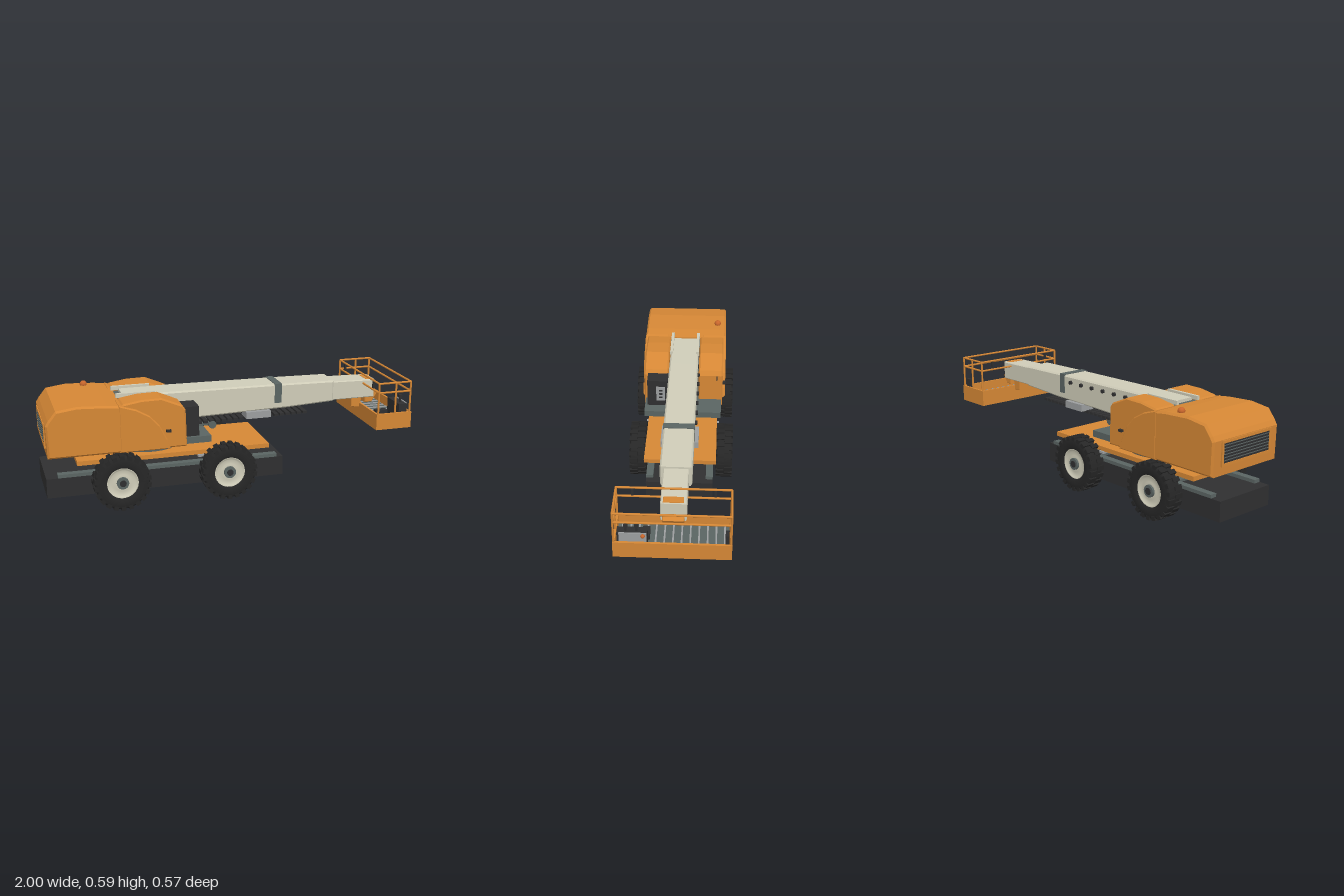
import * as THREE from 'three';

const mat = (name, color, double) => {
  const m = new THREE.MeshStandardMaterial({ color });
  m.name = name;
  if (double) m.side = THREE.DoubleSide;
  return m;
};

export function createModel() {
  const root = new THREE.Group();
  root.name = 'boomLift';
  const orange = mat('orange', 0xd58735);
  const cream = mat('cream', 0xcfccb8);
  const slate = mat('slate', 0x5a6462);
  const dark = mat('charcoal', 0x2f2f30);
  const rubber = mat('rubber', 0x262626, true);
  const grey = mat('lightGrey', 0x9c9e9f);
  const amber = mat('amber', 0xc8662c);

  const add = (name, geo, m, parent = root) => {
    const mesh = new THREE.Mesh(geo, m);
    mesh.name = name;
    parent.add(mesh);
    return mesh;
  };
  // box given by its limits on each axis
  const box = (name, m, x0, x1, y0, y1, z0, z1, parent) => {
    const mesh = add(name, new THREE.BoxGeometry(x1 - x0, y1 - y0, z1 - z0), m, parent);
    mesh.position.set((x0 + x1) / 2, (y0 + y1) / 2, (z0 + z1) / 2);
    return mesh;
  };
  // side profile extruded across z
  const slab = (name, m, pts, z0, z1, bevel = 0.008) => {
    const shape = new THREE.Shape(pts.map(p => new THREE.Vector2(...p)));
    const geo = new THREE.ExtrudeGeometry(shape, {
      depth: z1 - z0 - 2 * bevel, bevelEnabled: bevel > 0, bevelSize: bevel,
      bevelThickness: bevel, bevelOffset: -bevel, bevelSegments: 1
    });
    geo.translate(0, 0, z0 + bevel);
    return add(name, geo, m);
  };
  // round bar between two points
  const bar = (name, m, a, b, r, parent, sides = 10) => {
    const A = new THREE.Vector3(...a), B = new THREE.Vector3(...b);
    const mesh = add(name, new THREE.CylinderGeometry(r, r, A.distanceTo(B), sides), m, parent);
    mesh.position.copy(A).add(B).multiplyScalar(0.5);
    mesh.quaternion.setFromUnitVectors(new THREE.Vector3(0, 1, 0), B.sub(A).normalize());
    return mesh;
  };

  // chassis, rails and deck
  box('chassis', dark, -1, 0.285, 0.07, 0.175, -0.18, 0.18);
  for (const s of [-1, 1]) {
    const rail = box('chassisRail', slate, -0.94, 0.25, 0.175, 0.193, -0.019, 0.019);
    rail.position.z = s * 0.161;
    const bracket = box('deckBracket', grey, -0.2, -0.16, 0.227, 0.239, -0.015, 0.015);
    bracket.position.z = s * 0.192;
  }
  box('deck', orange, -0.84, 0.2, 0.238, 0.262, -0.195, 0.195);

  // wheels
  const tyreProfile = [[0.078, -0.034], [0.095, -0.045], [0.132, -0.044], [0.143, -0.034],
    [0.143, 0.034], [0.132, 0.044], [0.095, 0.045], [0.078, 0.034]].map(p => new THREE.Vector2(...p));
  const tyreGeo = new THREE.LatheGeometry(tyreProfile, 40).rotateX(Math.PI / 2);
  const rimGeo = new THREE.LatheGeometry([[0.084, 0.037], [0.076, 0.037], [0.066, 0.026], [0.045, 0.03],
    [0.03, 0.03], [0, 0.03]].map(p => new THREE.Vector2(...p)).reverse(), 32).rotateX(Math.PI / 2);
  const rimMat = mat('rimCream', 0xcfccb8, true);
  const makeWheel = (x, side) => {
    const w = new THREE.Group();
    w.name = 'wheel';
    add('tyre', tyreGeo, rubber, w);
    add('rim', rimGeo, rimMat, w);
    bar('hub', slate, [0, 0, -0.03], [0, 0, 0.042], 0.032, w, 20);
    bar('hubCap', dark, [0, 0, 0.04], [0, 0, 0.046], 0.018, w, 12);
    const n = 22;
    for (let i = 0; i < n; i++) {
      for (const half of [-1, 1]) {
        const a = (i + (half > 0 ? 0.5 : 0)) / n * Math.PI * 2;
        const lug = add('treadLug', new THREE.BoxGeometry(0.024, 0.022, 0.044), rubber, w);
        lug.position.set(Math.cos(a) * 0.139, Math.sin(a) * 0.139, half * 0.0228);
        lug.rotation.z = a - Math.PI / 2;
      }
    }
    w.position.set(x, 0.15, side * 0.24);
    if (side < 0) w.rotation.y = Math.PI;
    root.add(w);
  };
  for (const x of [-0.62, -0.045]) {
    box('axle', slate, x - 0.06, x + 0.06, 0.115, 0.187, -0.2, 0.2);
    for (const s of [-1, 1]) makeWheel(x, s);
  }

  // slewing ring and turret platform
  bar('slewRing', slate, [-0.44, 0.272, 0], [-0.44, 0.312, 0], 0.18, root, 40);
  box('turretPlatform', slate, -0.6, -0.13, 0.31, 0.345, -0.215, 0.215);

  // rear body, side skirts and hoods
  slab('rearBody', orange, [[-0.99, 0.3], [-0.6, 0.3], [-0.6, 0.548], [-0.68, 0.558], [-0.83, 0.565],
    [-0.94, 0.55], [-0.98, 0.5], [-0.995, 0.475]], -0.235, 0.235, 0.01);
  const skirt = [[-0.62, 0.3], [-0.355, 0.3], [-0.37, 0.35], [-0.41, 0.43], [-0.46, 0.485], [-0.53, 0.525], [-0.62, 0.553]];
  const hood = [[-0.615, 0.3], [-0.262, 0.3], [-0.268, 0.5], [-0.285, 0.525], [-0.395, 0.572],
    [-0.5, 0.57], [-0.595, 0.555], [-0.615, 0.54]];
  for (const s of [-1, 1]) {
    const range = (a, b) => s > 0 ? [a, b] : [-b, -a];
    slab('sideSkirt', orange, skirt, ...range(0.1, 0.237), 0.006);
    slab('sideHood', orange, hood, ...range(0.085, 0.222));
    box('hoodLatch', dark, -0.375, -0.35, 0.39, 0.402, ...range(0.22, 0.238));
    box('frontLatch', dark, -0.268, -0.259, 0.478, 0.498, ...range(0.185, 0.192));
    box('boomCheek', slate, -0.6, -0.3, 0.34, 0.48, ...range(0.078, 0.09));
  }

  // rear grille
  box('grille', dark, -0.998, -0.98, 0.36, 0.46, -0.165, 0.165);
  for (const y of [0.352, 0.465]) box('grilleFrame', orange, -1, -0.98, y - 0.007, y + 0.007, -0.178, 0.178);
  for (const z of [-0.171, 0.171]) box('grilleFrame', orange, -1, -0.98, 0.35, 0.47, z - 0.007, z + 0.007);
  for (let i = 0; i < 6; i++) box('grilleSlat', slate, -1, -0.99, 0.371 + i * 0.015, 0.375 + i * 0.015, -0.162, 0.162);
  const beacon = add('beacon', new THREE.SphereGeometry(0.019, 16, 10), amber);
  beacon.position.set(-0.74, 0.567, -0.185);

  // ground control box
  box('controlBox', dark, -0.285, -0.192, 0.345, 0.507, 0.085, 0.2);
  box('controlPanel', grey, -0.193, -0.187, 0.38, 0.47, 0.1, 0.15);
  for (let i = 0; i < 3; i++) box('controlSwitch', dark, -0.188, -0.183, 0.4 + i * 0.022, 0.408 + i * 0.022, 0.115, 0.135);

  // telescopic boom
  slab('mainBoom', cream, [[-0.57, 0.42], [-0.18, 0.405], [0.35, 0.418], [0.615, 0.432], [0.615, 0.55],
    [0.3, 0.555], [-0.3, 0.56], [-0.57, 0.56]], -0.08, 0.08);
  slab('innerBoom', cream, [[0.6, 0.432], [0.87, 0.432], [0.87, 0.535], [0.6, 0.54]], -0.064, 0.062, 0.005);
  box('boomBand', slate, 0.268, 0.308, 0.45, 0.559, -0.0815, 0.0815);
  bar('boomPivot', slate, [-0.575, 0.5, -0.085], [-0.575, 0.5, 0.085], 0.045, root, 20);
  for (const s of [-1, 1]) {
    const strap = box('tailStrap', cream, -0.61, -0.4, 0.552, 0.573, -0.008, 0.008);
    strap.position.z = s * 0.074;
  }
  for (let i = 0; i < 8; i++) {
    const x = -0.42 + i * 0.09;
    bar('hoseClamp', dark, [x, 0.522, -0.076], [x, 0.522, -0.092], 0.011);
  }

  // cable carrier and its box under the boom
  for (let i = 0; i < 20; i++) {
    const x = -0.2 + i * 0.0335;
    box('carrierLink', dark, x, x + 0.024, 0.366 + i * 0.0004, 0.38 + i * 0.0004, -0.075, 0.075);
  }
  box('carrierTray', dark, -0.17, 0.3, 0.386, 0.412, -0.02, 0.02);
  box('valveBox', grey, 0.1, 0.24, 0.378, 0.416, -0.1, 0.1);
  bar('hoseDrum', slate, [-0.085, 0.356, -0.06], [-0.085, 0.356, 0.08], 0.021, root, 16);
  box('drumMount', slate, -0.18, -0.07, 0.346, 0.366, -0.05, 0.05);

  // basket mount
  slab('basketMount', orange, [[0.74, 0.378], [0.8, 0.37], [0.8, 0.43], [0.74, 0.435]], -0.045, 0.045, 0.004);
  slab('basketRotator', orange, [[0.82, 0.4], [0.862, 0.4], [0.893, 0.448], [0.862, 0.48], [0.862, 0.537], [0.82, 0.537]], -0.052, 0.052, 0.004);

  // basket tub and grating
  box('basketBase', orange, 0.79, 0.997, 0.308, 0.33, -0.28, 0.28);
  for (const x of [0.796, 0.991]) box('basketWall', orange, x - 0.006, x + 0.006, 0.308, 0.398, -0.28, 0.28);
  for (const z of [-0.274, 0.274]) box('basketWall', orange, 0.79, 0.997, 0.308, 0.398, z - 0.006, z + 0.006);
  box('basketFloor', slate, 0.802, 0.985, 0.33, 0.345, -0.268, 0.268);
  for (let i = 0; i < 13; i++) {
    const z = -0.246 + i * 0.041;
    box('floorSlat', grey, 0.805, 0.982, 0.345, 0.35, z - 0.004, z + 0.004);
  }

  // guard rails
  const r = 0.0055, x0 = 0.8, x1 = 0.987, zr = 0.274;
  for (const y of [0.517, 0.569]) {
    for (const x of [x0, x1]) bar('guardRail', orange, [x, y, -zr], [x, y, zr], r);
    for (const z of [-zr, zr]) bar('guardRail', orange, [x0, y, z], [x1, y, z], r);
  }
  for (const z of [-zr, zr]) {
    for (const x of [x0, 0.9, x1]) bar('guardPost', orange, [x, 0.39, z], [x, 0.569, z], r);
  }
  for (const z of [-0.197, 0.197]) box('railClamp', dark, 0.795, 0.806, 0.526, 0.563, z - 0.006, z + 0.006);

  // basket controls
  box('console', dark, 0.93, 0.976, 0.35, 0.44, 0.117, 0.26);
  box('consoleFace', grey, 0.974, 0.98, 0.36, 0.444, 0.12, 0.25);
  box('footSwitch', dark, 0.85, 0.92, 0.35, 0.375, 0.11, 0.145);
  for (const z of [0.167, 0.218]) {
    bar('joystick', dark, [0.955, 0.435, z], [0.955, 0.475, z], 0.005);
    box('joystickGrip', dark, 0.947, 0.963, 0.464, 0.482, z - 0.009, z + 0.009);
  }
  const knob = add('stopKnob', new THREE.SphereGeometry(0.011, 14, 10), amber);
  knob.position.set(0.981, 0.43, 0.137);
  box('toolBox', dark, 0.94, 0.98, 0.35, 0.442, -0.266, -0.248);

  return root;
}
